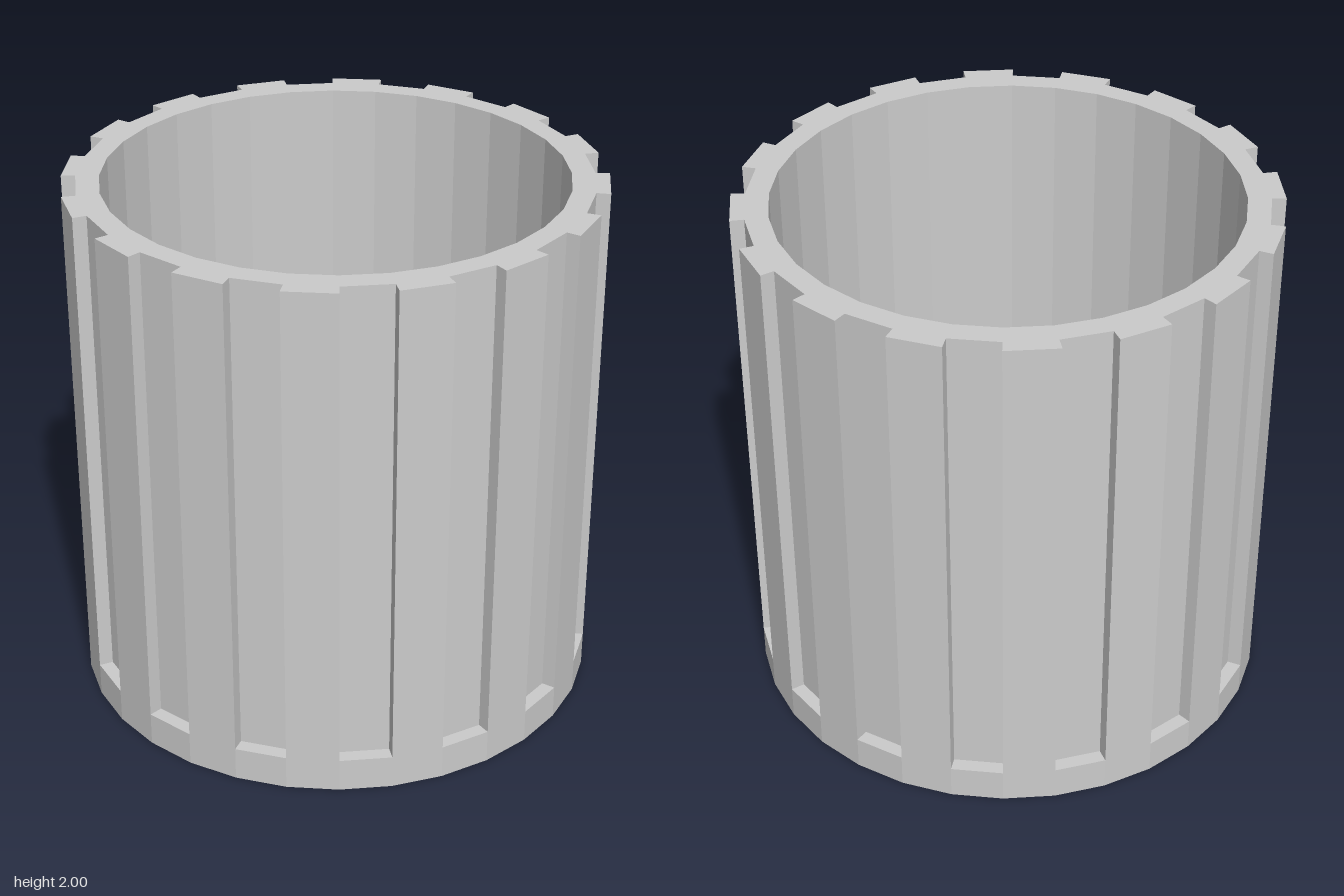
import * as THREE from 'three';

const SIDES = 32;
const OUTER = 0.987, GROOVE = 0.935, INNER = 0.85;
const HEIGHT = 2, BASE = 0.13;

// Point on a circle, angle measured from the front (+z) towards +x
function rimPoint(radius, i) {
  const a = (i / SIDES) * Math.PI * 2;
  return new THREE.Vector2(radius * Math.sin(a), -radius * Math.cos(a));
}

export function createModel() {
  const group = new THREE.Group();
  const material = new THREE.MeshStandardMaterial({ color: 0xcccccc, flatShading: true });

  // Solid floor, closing the bottom and carrying the groove ends
  const base = new THREE.Mesh(new THREE.CylinderGeometry(OUTER, OUTER, BASE, SIDES), material);
  base.name = 'base';
  base.position.y = BASE / 2;
  group.add(base);

  // Wall outline: every other facet is sunk to form a vertical groove
  const outline = [], bore = [];
  for (let i = 0; i < SIDES; i++) {
    const radius = i % 2 ? GROOVE : OUTER;
    outline.push(rimPoint(radius, i), rimPoint(radius, i + 1));
    bore.push(rimPoint(INNER, i));
  }
  const section = new THREE.Shape(outline);
  section.holes.push(new THREE.Path(bore));

  const wallGeometry = new THREE.ExtrudeGeometry(section, { depth: HEIGHT - BASE, bevelEnabled: false });
  wallGeometry.rotateX(-Math.PI / 2);
  const wall = new THREE.Mesh(wallGeometry, material);
  wall.name = 'groovedWall';
  wall.position.y = BASE;
  group.add(wall);

  return group;
}
